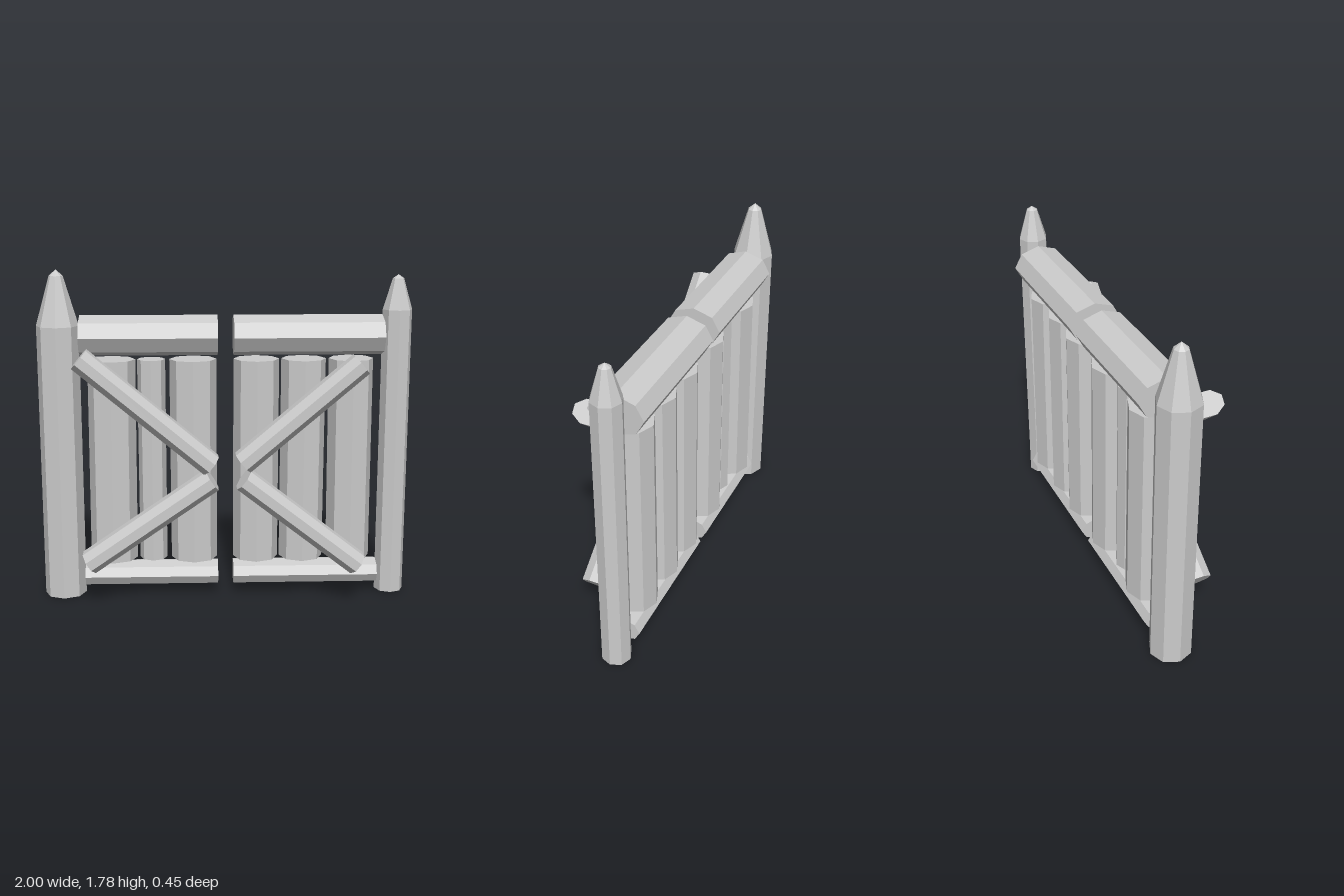
import * as THREE from 'three';

const material = new THREE.MeshStandardMaterial({ color: 0xcccccc, flatShading: true });
const UP = new THREE.Vector3(0, 1, 0);

// Eight-sided log between two points; r is its half width, rz its half depth.
function log(name, from, to, r, rz, spin = 0) {
  const a = new THREE.Vector3(...from), b = new THREE.Vector3(...to);
  const dir = b.clone().sub(a);
  const geometry = new THREE.CylinderGeometry(1, 1, 1, 8).rotateY(spin);
  geometry.scale(r, dir.length(), rz);
  const mesh = new THREE.Mesh(geometry, material);
  mesh.name = name;
  mesh.position.copy(a).add(b).multiplyScalar(0.5);
  mesh.quaternion.setFromUnitVectors(UP, dir.normalize());
  return mesh;
}

// Upright post sharpened to a point.
function post(name, x, r, shoulder, neck, neckRadius, tip) {
  const profile = [[0, 0], [r, 0], [r, shoulder], [neckRadius, neck], [0, tip]]
    .map(([px, py]) => new THREE.Vector2(px, py));
  const mesh = new THREE.Mesh(new THREE.LatheGeometry(profile, 8), material);
  mesh.name = name;
  mesh.position.set(x, 0, -0.08);
  return mesh;
}

// One gate leaf: two rails, upright logs and two braces on the front.
function leaf(name, x0, x1, planks, braces) {
  const group = new THREE.Group();
  group.name = name;
  group.add(log('topRail', [x0, 1.437, -0.08], [x1, 1.437, -0.08], 0.108, 0.143));
  group.add(log('bottomRail', [x0, 0.112, -0.08], [x1, 0.112, -0.08], 0.068, 0.093));
  for (const [bottom, top, r, rz] of planks) {
    group.add(log('uprightLog', [bottom, 0.2, -0.083], [top, 1.31, -0.077], r, rz));
  }
  for (const [from, to] of braces) {
    group.add(log('brace', from, to, 0.065, 0.096, Math.PI / 8));
  }
  return group;
}

export function createModel() {
  const model = new THREE.Group();
  model.name = 'palisadeGate';

  model.add(post('rightPost', -0.887, 0.113, 1.49, 1.752, 0.037, 1.785));
  model.add(post('leftPost', 0.92, 0.079, 1.57, 1.735, 0.03, 1.755));

  model.add(leaf('rightLeaf', -0.77, -0.04,
    [[-0.613, -0.607, 0.128, 0.115], [-0.395, -0.395, 0.075, 0.075], [-0.17, -0.172, 0.126, 0.115]],
    [
      [[-0.76, 1.345, 0.134], [-0.08, 0.775, 0.122]],
      [[-0.733, 0.245, 0.132], [-0.075, 0.695, 0.122]],
    ]));

  model.add(leaf('leftLeaf', 0.045, 0.84,
    [[0.168, 0.168, 0.123, 0.115], [0.42, 0.422, 0.12, 0.112], [0.682, 0.677, 0.12, 0.115]],
    [
      [[0.703, 1.31, 0.126], [0.088, 0.787, 0.126]],
      [[0.705, 0.222, 0.126], [0.092, 0.697, 0.126]],
    ]));

  return model;
}
